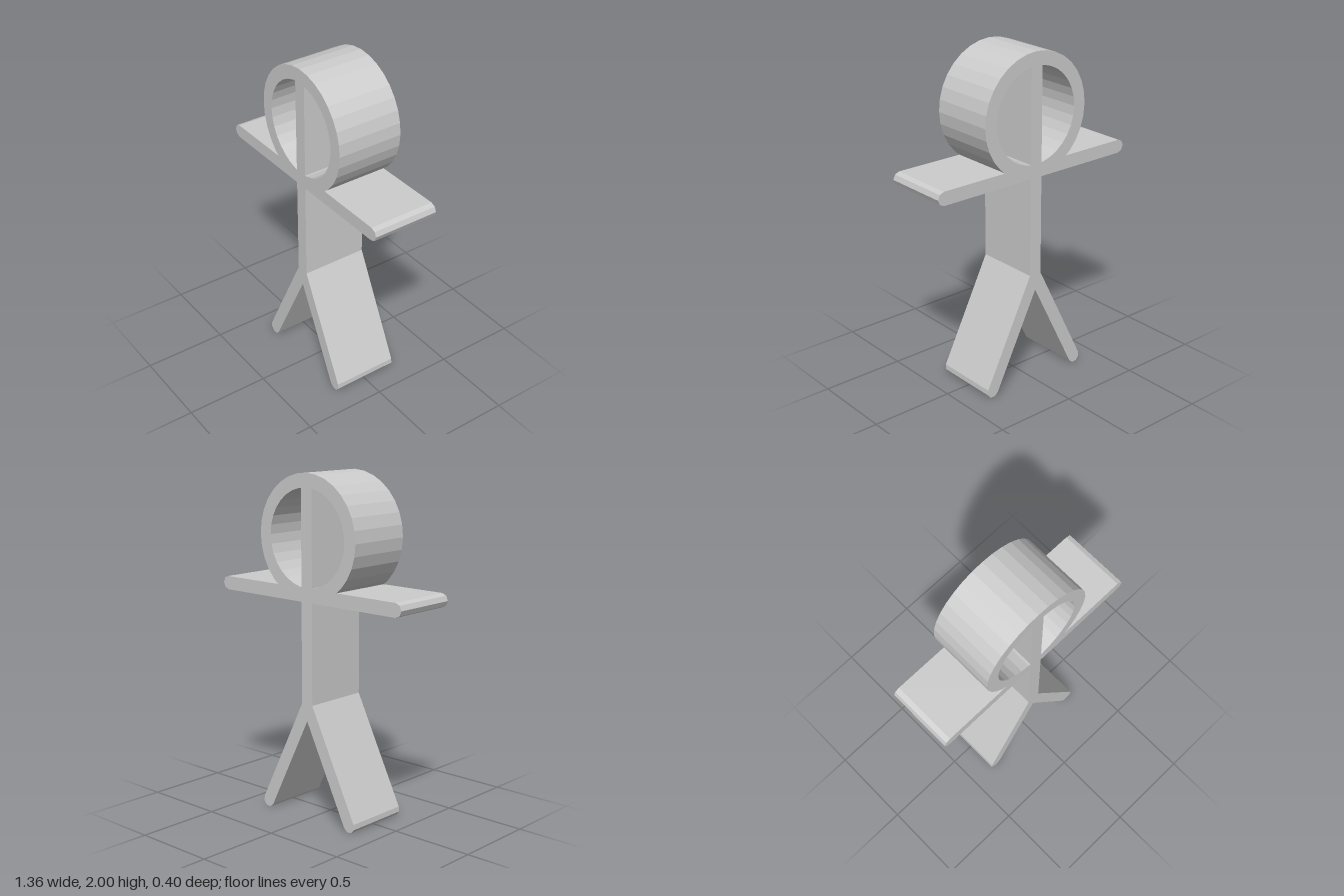
import * as THREE from 'three';

const HALF = 0.04;            // half thickness of every stroke
const DEPTH = 0.4;
const HEAD = { y: 1.64, outer: 0.36, inner: 0.28, sides: 32 };
const ARM = { x: 0.64, y: 1.32 };
const HIP_Y = 0.68;
const FOOT = { x: 0.32, y: 0.038 };

const polar = (cx, cy, r, a) => new THREE.Vector2(cx + r * Math.cos(a), cy + r * Math.sin(a));
const mirror = (points) => points.map((p) => new THREE.Vector2(-p.x, p.y)).reverse();

// Half-round stroke end in four facets, swept clockwise around the given direction
function cap(cx, cy, direction) {
  return Array.from({ length: 5 }, (_, i) => polar(cx, cy, HALF, direction + Math.PI / 2 - (i * Math.PI) / 4));
}

// Left half of the silhouette, from the crown down to the crotch
function halfOutline() {
  const points = [];
  const step = (2 * Math.PI) / HEAD.sides;
  for (let i = 0; i <= 12; i++) points.push(polar(0, HEAD.y, HEAD.outer, Math.PI / 2 - i * step));

  // The last head facet is cut off by the top of the arm
  const armTop = ARM.y + HALF;
  const a = points[12];
  const b = polar(0, HEAD.y, HEAD.outer, Math.PI / 2 - 13 * step);
  points.push(a.clone().lerp(b, (armTop - a.y) / (b.y - a.y)));

  // Arm and side of the body
  points.push(...cap(ARM.x, ARM.y, 0));
  points.push(new THREE.Vector2(HALF, ARM.y - HALF));

  // Leg
  const drop = HIP_Y - FOOT.y;
  const length = Math.hypot(FOOT.x, drop);
  points.push(new THREE.Vector2(HALF, HIP_Y + (HALF * length - HALF * drop) / FOOT.x));
  points.push(...cap(FOOT.x, FOOT.y, Math.atan2(-drop, FOOT.x)));
  points.push(new THREE.Vector2(0, HIP_Y - (HALF * length) / FOOT.x));
  return points;
}

// Half-disc opening in the head, beside the central bar
function headOpening() {
  const step = (2 * Math.PI) / HEAD.sides;
  const arc = [];
  for (let i = 1; i < HEAD.sides / 2; i++) arc.push(polar(0, HEAD.y, HEAD.inner, -Math.PI / 2 + i * step));
  const rise = HEAD.inner - HALF * Math.tan(step / 2);
  return [new THREE.Vector2(HALF, HEAD.y - rise), ...arc, new THREE.Vector2(HALF, HEAD.y + rise)];
}

export function createModel() {
  const model = new THREE.Group();
  model.name = 'stickFigure';

  const grey = new THREE.MeshStandardMaterial({ color: 0xcccccc });
  grey.name = 'light grey';

  // Whole silhouette; the crown and crotch lie on the mirror line and are kept once
  const half = halfOutline();
  const shape = new THREE.Shape([...half, ...mirror(half.slice(1, -1))]);
  const opening = headOpening();
  shape.holes.push(new THREE.Path(opening), new THREE.Path(mirror(opening)));

  const geometry = new THREE.ExtrudeGeometry(shape, { depth: DEPTH, bevelEnabled: false });
  geometry.translate(0, 0, -DEPTH / 2);

  const figure = new THREE.Mesh(geometry, grey);
  figure.name = 'figureBody';
  model.add(figure);
  return model;
}
